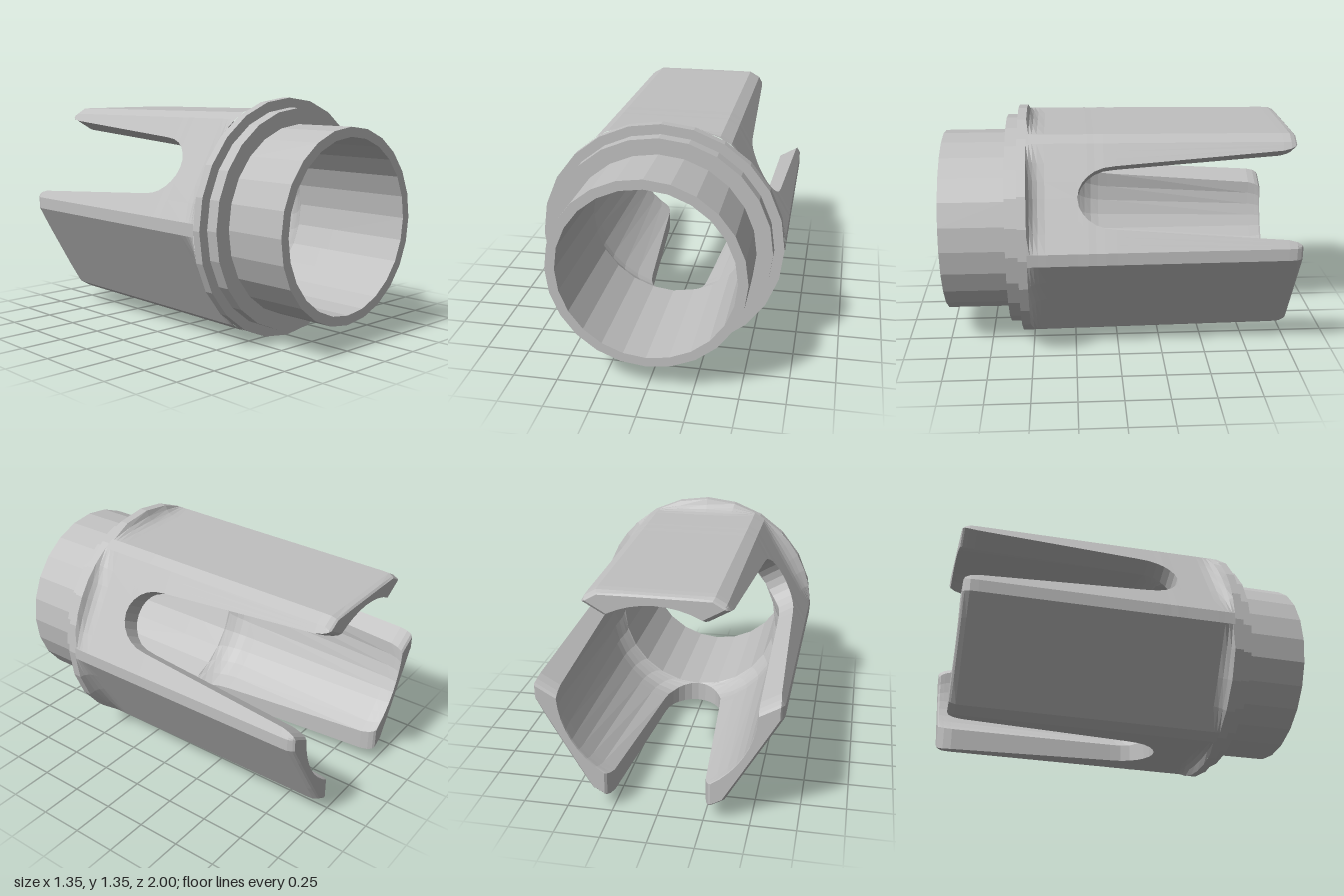
import * as THREE from 'three';

const AXIS = 0.677; // height of the central axis
const DEG = Math.PI / 180;

// Stations along z: [z, flat distance, corner distance, flange blend, slot half width, bore radius]
const STATIONS = [
  [0.51, 0.603, 0.675, 1, 0, 0.48],
  [0.495, 0.603, 0.675, 0.55, 0, 0.48],
  [0.475, 0.603, 0.675, 0.25, 0, 0.48],
  [0.45, 0.602, 0.675, 0.08, 0, 0.48],
  [0.41, 0.602, 0.675, 0, 0, 0.48],
  [0.232, 0.600, 0.675, 0, 0, 0.48],
  [0.225, 0.600, 0.675, 0, 0.045, 0.485],
  [0.205, 0.600, 0.675, 0, 0.085, 0.495],
  [0.175, 0.600, 0.675, 0, 0.12, 0.51],
  [0.135, 0.599, 0.675, 0, 0.148, 0.525],
  [0.085, 0.599, 0.675, 0, 0.167, 0.53],
  [0.02, 0.598, 0.675, 0, 0.176, 0.53],
  [-0.92, 0.590, 0.673, 0, 0.25, 0.53],
  [-0.965, 0.588, 0.66, 0, 0.262, 0.53],
  [-0.99, 0.582, 0.648, 0, 0.275, 0.53],
  [-1.0, 0.572, 0.64, 0, 0.288, 0.532],
];
const OUTER = 13;

// Cross-section of one third of the body, centred on the top flat
function section([, flat, corner, blend, half, bore]) {
  const start = 30 + Math.atan(half / flat) / DEG;
  const side = [start, start + (57 - start) / 3, start + (57 - start) * 2 / 3, 57, 63, 75];
  const angles = [...side, 90, ...side.map(a => 180 - a).reverse()];
  const pts = angles.map(a => {
    const fromFlat = ((a % 60) - 30) * DEG;
    const fromCorner = (a - Math.round(a / 60) * 60) * DEG;
    const hex = Math.min(flat / Math.cos(fromFlat), corner / Math.cos(fromCorner));
    const r = THREE.MathUtils.lerp(hex, 0.677, blend);
    return new THREE.Vector2(r * Math.cos(a * DEG), r * Math.sin(a * DEG));
  });
  const inner = 30 + Math.asin(half / bore) / DEG;
  for (let i = 8; i >= 0; i--) {
    const a = (inner + (180 - 2 * inner) * i / 8) * DEG;
    pts.push(new THREE.Vector2(bore * Math.cos(a), bore * Math.sin(a)));
  }
  return pts;
}

// Loft the sections into a body third that ends in a prong
function prongGeometry() {
  const loops = STATIONS.map(section);
  const n = loops[0].length;
  const pos = [], index = [];
  loops.forEach((loop, i) => loop.forEach(p => pos.push(p.x, p.y, STATIONS[i][0])));
  for (let i = 0; i < loops.length - 1; i++) {
    for (let j = 0; j < n; j++) {
      // no slot walls where the thirds join
      const wall = j === OUTER - 1 || j === n - 1;
      if (wall && STATIONS[i + 1][4] === 0) continue;
      const k = (j + 1) % n;
      const a = i * n + j, b = a + n, c = i * n + k, d = c + n;
      index.push(a, b, c, c, b, d);
    }
  }
  // rear end face
  const base = (loops.length - 1) * n;
  for (const [a, b, c] of THREE.ShapeUtils.triangulateShape(loops[loops.length - 1], [])) {
    index.push(base + a, base + c, base + b);
  }
  const geo = new THREE.BufferGeometry();
  geo.setAttribute('position', new THREE.Float32BufferAttribute(pos, 3));
  geo.setIndex(index);
  const flat = geo.toNonIndexed();
  flat.computeVertexNormals();
  return flat;
}

// Turn a closed profile of [radius, z] around the z axis
function ring(profile) {
  const geo = new THREE.LatheGeometry(profile.map(([r, z]) => new THREE.Vector2(r, z)), 24);
  return geo.rotateX(Math.PI / 2);
}

export function createModel() {
  const grey = new THREE.MeshStandardMaterial({ color: 0xc0c0c0, flatShading: true });
  grey.name = 'light grey';
  const group = new THREE.Group();
  group.name = 'slottedCoupling';

  // stepped flange and front tube, open through the middle
  const collar = new THREE.Mesh(ring([
    [0.677, 0.51], [0.677, 0.56], [0.622, 0.56], [0.622, 0.63], [0.533, 0.63],
    [0.533, 1], [0.48, 1], [0.48, 0.51],
  ]), grey);
  collar.name = 'flangeAndTube';
  collar.position.y = AXIS;
  group.add(collar);

  // hexagonal body with three prongs
  const geo = prongGeometry();
  ['topProng', 'rightProng', 'leftProng'].forEach((name, i) => {
    const prong = new THREE.Mesh(geo, grey);
    prong.name = name;
    prong.position.y = AXIS;
    prong.rotation.z = i * 2 * Math.PI / 3;
    group.add(prong);
  });
  return group;
}
